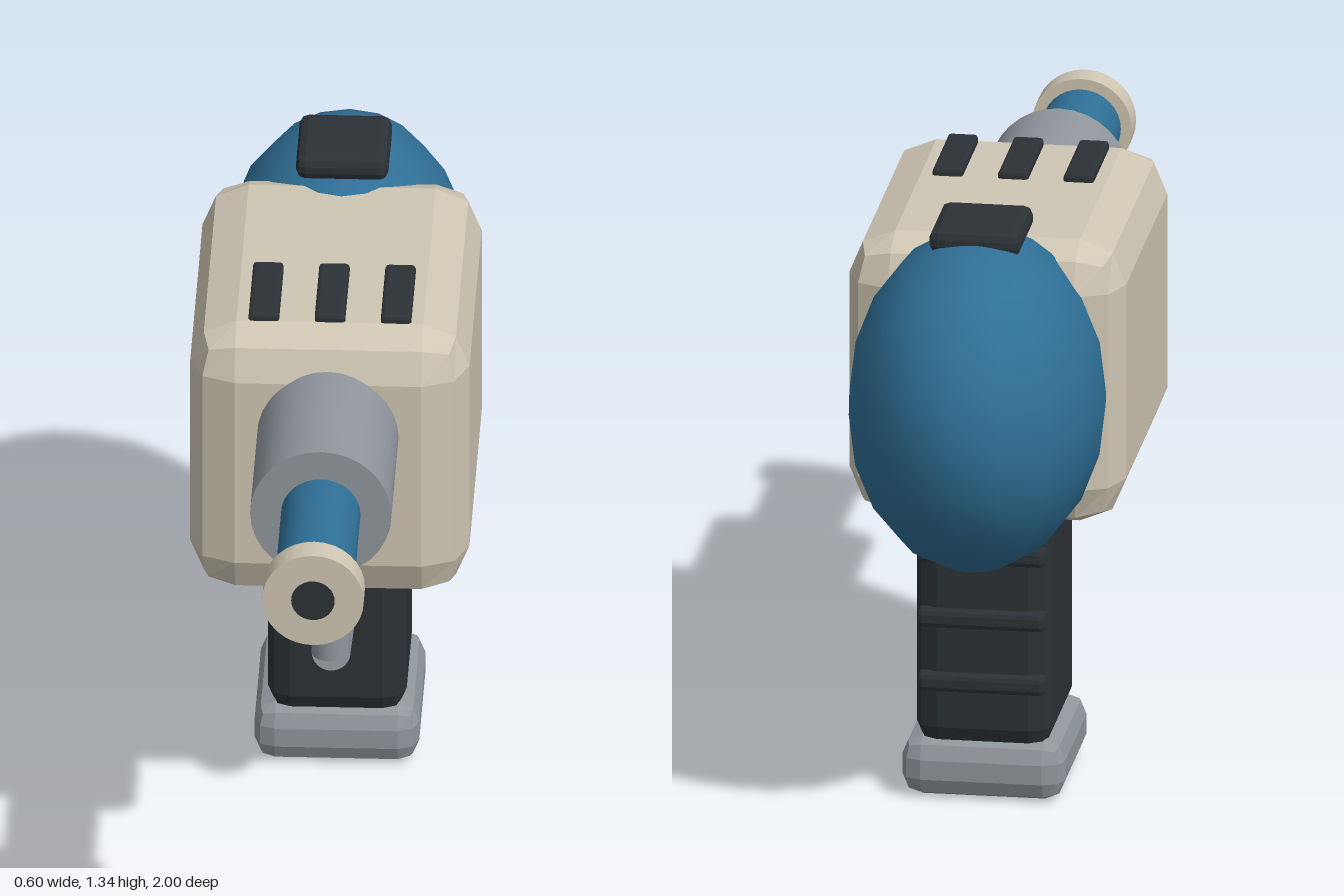
import * as THREE from 'three';
import { RoundedBoxGeometry } from 'three/addons/geometries/RoundedBoxGeometry.js';

export function createModel() {
  const model = new THREE.Group();
  model.name = 'toyBlaster';

  const mat = (color, flatShading = false) => new THREE.MeshStandardMaterial({ color, flatShading });
  const CREAM = 0xcfc6b3, BLUE = 0x2f6f96, GREY = 0x8f969c, BLACK = 0x2b3135;

  const add = (name, geometry, material, x, y, z) => {
    const mesh = new THREE.Mesh(geometry, material);
    mesh.name = name;
    mesh.position.set(x, y, z);
    model.add(mesh);
    return mesh;
  };

  // Box with two-facet bevels, given by its extents in y and z
  const block = (name, color, x, width, y0, y1, z0, z1, r) =>
    add(name, new RoundedBoxGeometry(width, y1 - y0, z1 - z0, 1, r), mat(color, true),
      x, (y0 + y1) / 2, (z0 + z1) / 2);

  // Cylinder between two points in the x = 0 plane, as [y, z]
  const rod = (name, color, r, [y0, z0], [y1, z1]) => {
    const a = new THREE.Vector3(0, y0, z0), b = new THREE.Vector3(0, y1, z1);
    const dir = b.clone().sub(a);
    const mesh = add(name, new THREE.CylinderGeometry(r, r, dir.length(), 32), mat(color),
      0, (y0 + y1) / 2, (z0 + z1) / 2);
    mesh.quaternion.setFromUnitVectors(new THREE.Vector3(0, 1, 0), dir.normalize());
    return mesh;
  };

  // Main housing and rear tank
  block('body', CREAM, 0, 0.604, 0.62, 1.263, -0.55, 0.26, 0.1);
  const tank = new THREE.SphereGeometry(1, 16, 10).scale(0.28, 0.375, 0.4);
  add('rearTank', tank, mat(BLUE), 0, 0.94, -0.6);
  block('tankCap', BLACK, 0, 0.2, 1.28, 1.335, -0.655, -0.437, 0.02);

  // Top vents
  for (const x of [-0.143, 0, 0.143]) {
    block('topVent', BLACK, x, 0.066, 1.25, 1.28, -0.08, 0.16, 0.008);
  }

  // Barrel, stepping down to the muzzle
  const axis = 1.037;
  rod('barrelCollar', GREY, 0.153, [axis, 0.2], [axis, 0.61]);
  rod('barrel', BLUE, 0.086, [axis, 0.55], [axis, 0.95]);
  rod('muzzle', CREAM, 0.11, [axis, 0.934], [axis, 0.998]);
  rod('muzzleHole', BLACK, 0.047, [axis, 0.96], [axis, 1.0]);

  // Grip with its foot and back ribs
  block('grip', BLACK, 0, 0.3, 0.11, 0.75, -0.533, -0.166, 0.05);
  block('gripFoot', GREY, 0, 0.356, 0, 0.134, -0.552, -0.148, 0.045);
  for (const y of [0.267, 0.413, 0.56]) {
    block('gripRib', BLACK, 0, 0.28, y - 0.021, y + 0.021, -0.555, -0.505, 0.012);
  }

  // Trigger and guard
  rod('guardPost', GREY, 0.042, [0.42, 0.105], [0.68, 0.105]);
  rod('guardBar', GREY, 0.042, [0.416, 0.098], [0.356, -0.21]);
  const trigger = add('trigger', new THREE.BoxGeometry(0.06, 0.14, 0.053), mat(BLACK, true), 0, 0.658, -0.03);
  trigger.rotation.x = -0.4;

  return model;
}
